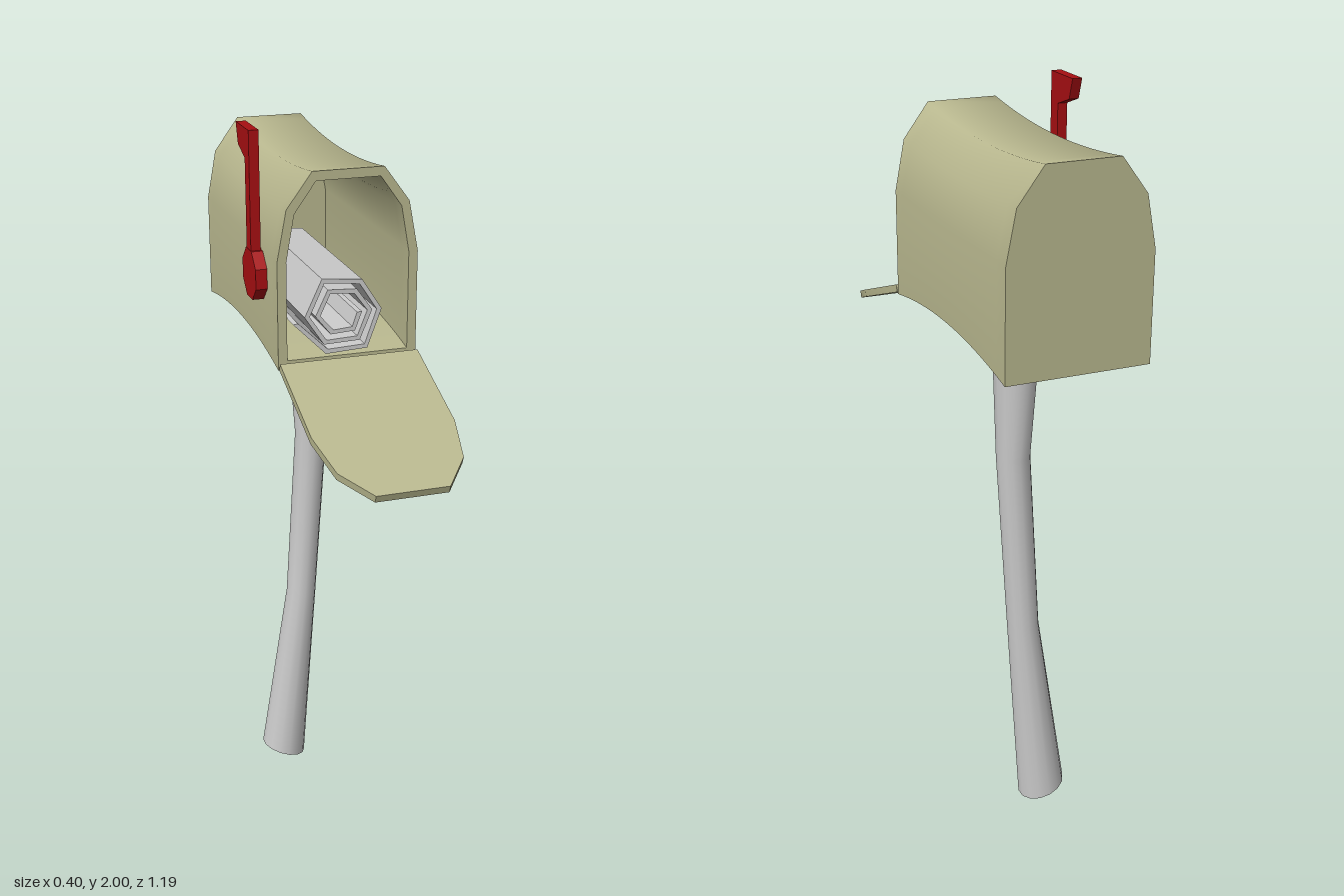
import * as THREE from 'three';
import { toCreasedNormals } from 'three/addons/utils/BufferGeometryUtils.js';

const mat = (color) => new THREE.MeshStandardMaterial({ color });
const CENTER_X = 0.015, BACK = -0.595, FRONT = 0.11, BASE = 1.42;

// Arched cross-section of the box, shrunk by an inset
function archPoints(i = 0) {
  const half = [[0.185 - i, i], [0.185 - i, 0.28], [0.16 - 0.85 * i, 0.41 - 0.5 * i], [0.093 - 0.4 * i, 0.5 - i]];
  const mirrored = half.map(([x, y]) => [-x, y]).reverse();
  return [...half, ...mirrored].map(([x, y]) => new THREE.Vector2(x, y));
}

function extrude(shape, depth, steps = 1) {
  return new THREE.ExtrudeGeometry(shape, { depth, steps, bevelEnabled: false });
}

function addMesh(parent, name, geometry, material, crease = 0.5) {
  const mesh = new THREE.Mesh(toCreasedNormals(geometry, crease), material);
  mesh.name = name;
  parent.add(mesh);
  return mesh;
}

// Squeeze the height toward the middle of the box's length
function sag(geometry) {
  const p = geometry.attributes.position;
  const mid = (BACK + FRONT) / 2, half = (FRONT - BACK) / 2;
  for (let k = 0; k < p.count; k++) {
    const u = (p.getZ(k) - mid) / half;
    const s = 0.88 + 0.12 * u * u;
    p.setY(k, 1.71 + (p.getY(k) - 1.71) * s);
  }
  return geometry;
}

// Post: a cylinder bent and waisted along a few rings
function postGeometry() {
  const rings = [ // x, y, radius, slope of the ring
    [-0.065, 0.025, 0.064, -0.33], [-0.003, 0.57, 0.043, -0.1],
    [0.03, 1.08, 0.045, 0], [0.023, 1.47, 0.065, 0],
  ];
  const g = new THREE.CylinderGeometry(1, 1, 3, 14, 3);
  const p = g.attributes.position;
  for (let k = 0; k < p.count; k++) {
    const [x, y, r, slope] = rings[Math.round(p.getY(k) + 1.5)];
    const dx = p.getX(k) * r;
    p.setXYZ(k, x + dx, y + dx * slope, -0.263 + p.getZ(k) * r);
  }
  return g;
}

// Rolled paper: a spiral strip of constant thickness
function paperGeometry() {
  const spiral = [
    [-0.13, -0.015], [-0.045, -0.1], [0.065, -0.095], [0.102, 0.005], [0.05, 0.085], [-0.055, 0.095],
    [-0.1, 0], [-0.05, -0.075], [0.045, -0.072], [0.077, 0.005], [0.036, 0.062], [-0.04, 0.066],
    [-0.072, 0], [-0.032, -0.05], [0.032, -0.046], [0.05, 0.002],
  ].map(([x, y]) => new THREE.Vector2(x, y));
  const inner = spiral.map((v) => v.clone().setLength(v.length() - 0.013)).reverse();
  return extrude(new THREE.Shape([...spiral, ...inner]), 0.51);
}

export function createModel() {
  const model = new THREE.Group();
  model.name = 'mailbox';
  const olive = mat(0xb9b88f), grey = mat(0xcccccc), red = mat(0xa80f12);

  // Hollow body with an open front and a closed back
  const body = new THREE.Group();
  body.name = 'body';
  model.add(body);
  const tube = new THREE.Shape(archPoints());
  tube.holes.push(new THREE.Path(archPoints(0.024)));
  const shell = extrude(tube, FRONT - BACK, 14).translate(CENTER_X, BASE, BACK);
  addMesh(body, 'shell', sag(shell), olive, Math.PI / 3);
  const wall = extrude(new THREE.Shape(archPoints(0.004)), 0.02).translate(CENTER_X, BASE, BACK);
  addMesh(body, 'backWall', sag(wall), olive);

  // Door hanging open from the lower front edge
  const door = addMesh(model, 'door', extrude(new THREE.Shape(archPoints()), 0.02), olive);
  door.position.set(CENTER_X, 1.442, 0.125);
  door.rotation.x = 1.92;

  // Bent post
  addMesh(model, 'post', postGeometry(), grey, 0.9);

  // Rolled paper sticking out of the opening
  const paper = addMesh(model, 'rolledPaper', paperGeometry(), grey);
  paper.position.set(-0.015, 1.57, -0.35);

  // Raised flag on the right side: pivot disc, arm and head
  const flag = new THREE.Group();
  flag.name = 'flag';
  model.add(flag);
  const disc = new THREE.CylinderGeometry(0.068, 0.068, 0.03, 8);
  disc.rotateY(Math.PI / 8).rotateZ(Math.PI / 2).translate(-0.186, 1.635, -0.04);
  addMesh(flag, 'flagPivot', disc, red);
  const outline = [
    [0.022, 1.66], [0.022, 2], [0.142, 2], [0.125, 1.947], [0.062, 1.925], [0.062, 1.66],
  ].map(([z, y]) => new THREE.Vector2(z, y));
  const arm = extrude(new THREE.Shape(outline), 0.026).rotateY(Math.PI / 2).translate(-0.2, 0, 0);
  addMesh(flag, 'flagArm', arm, red);

  return model;
}
